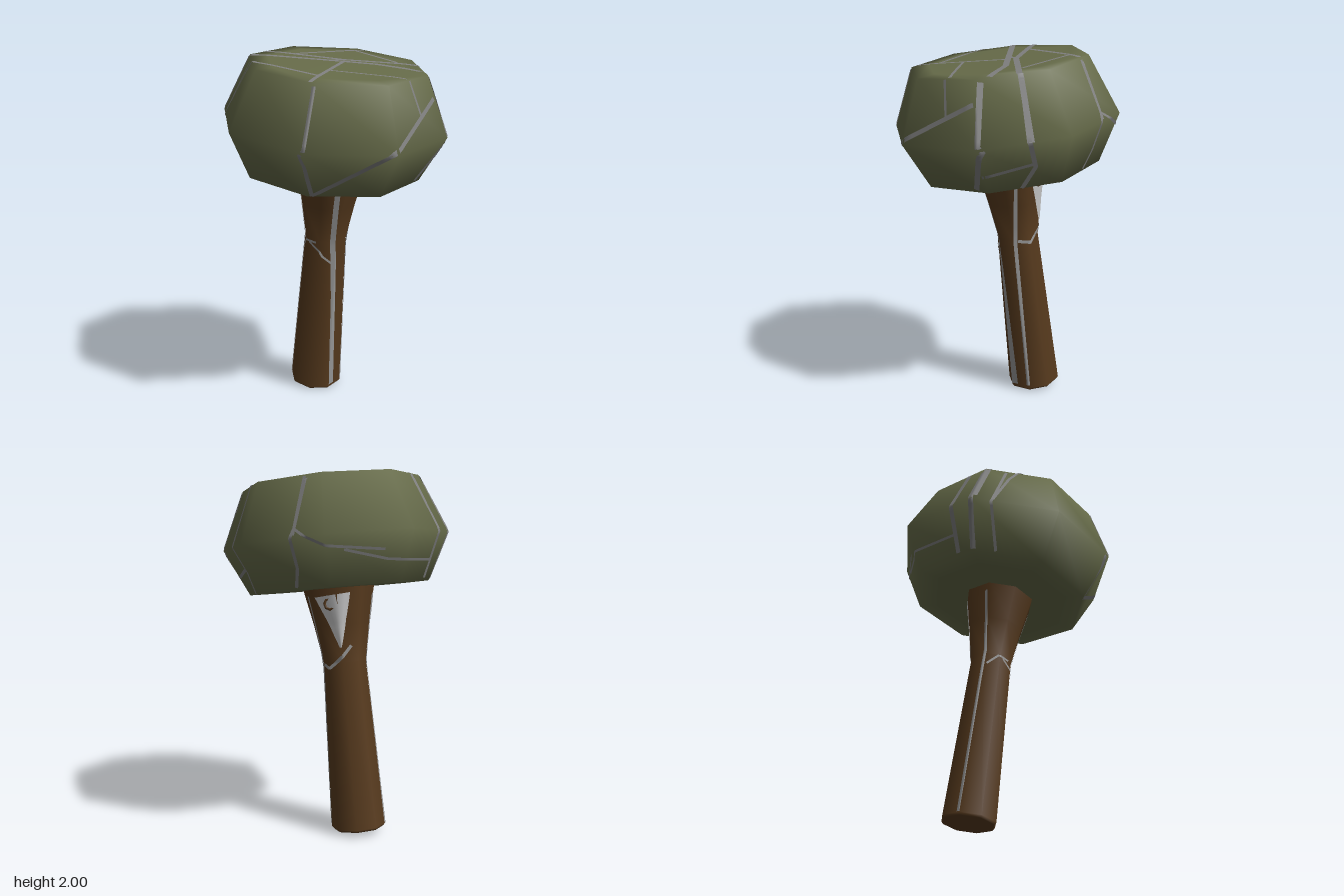
import * as THREE from 'three';

const TILT = 0.13;
const PIVOT = new THREE.Vector3(0, 1.62, 0);
const AXIS = new THREE.Vector3(0, Math.cos(TILT), Math.sin(TILT));

const material = (color) => new THREE.MeshStandardMaterial({ color, side: THREE.DoubleSide });

// Eight-sided turned body, leaning forward about the crown centre
function turned(name, profile, color) {
  const geometry = new THREE.LatheGeometry(profile.map(([r, h]) => new THREE.Vector2(r, h)), 8);
  const mesh = new THREE.Mesh(geometry, material(color));
  mesh.name = name;
  mesh.position.copy(PIVOT);
  mesh.rotation.x = TILT;
  mesh.updateMatrixWorld(true);
  return mesh;
}

// Rays that project flat drawing coordinates onto a body from each side
const V = (x, y, z) => new THREE.Vector3(x, y, z);
const RAYS = {
  top: (a, b) => [V(a, 5, b), V(0, -1, 0)],
  front: (a, b) => [V(a, b, 5), V(0, 0, -1)],
  back: (a, b) => [V(a, b, -5), V(0, 0, 1)],
  right: (a, b) => [V(5, b, a), V(-1, 0, 0)],
  left: (a, b) => [V(-5, b, a), V(1, 0, 0)],
};

function hit(mesh, origin, direction) {
  return new THREE.Raycaster(origin, direction).intersectObject(mesh)[0]?.point;
}

// Ribbon that hugs a body along a path; points are [a, b, optional width]
function ribbon(mesh, name, centreOf, view, path, width, color, lift = 0.004) {
  const samples = [];
  for (let i = 0; i + 1 < path.length; i++) {
    const [a0, b0, w0 = width] = path[i];
    const [a1, b1, w1 = width] = path[i + 1];
    for (let k = i ? 1 : 0; k <= 12; k++) {
      const t = k / 12;
      const p = hit(mesh, ...RAYS[view](a0 + (a1 - a0) * t, b0 + (b1 - b0) * t));
      if (p) samples.push({ p, w: w0 + (w1 - w0) * t });
    }
  }
  const across = 6, positions = [], index = [];
  samples.forEach(({ p, w }, i) => {
    const before = samples[Math.max(i - 1, 0)].p;
    const after = samples[Math.min(i + 1, samples.length - 1)].p;
    const centre = centreOf(p);
    const out = p.clone().sub(centre);
    const side = after.clone().sub(before).cross(out).normalize();
    for (let j = 0; j <= across; j++) {
      const q = p.clone().addScaledVector(side, w * (j / across - 0.5));
      const c = centreOf(q);
      const dir = q.clone().sub(c).normalize();
      const s = (hit(mesh, c, dir) ?? q).clone().addScaledVector(dir, lift);
      positions.push(s.x, s.y, s.z);
      if (i && j) {
        const d = i * (across + 1) + j, u = d - across - 1;
        index.push(u - 1, u, d, u - 1, d, d - 1);
      }
    }
  });
  const geometry = new THREE.BufferGeometry();
  geometry.setAttribute('position', new THREE.Float32BufferAttribute(positions, 3));
  geometry.setIndex(index);
  geometry.computeVertexNormals();
  const strip = new THREE.Mesh(geometry, material(color));
  strip.name = name;
  return strip;
}

export function createModel() {
  const model = new THREE.Group();
  model.name = 'crackedTree';

  const crown = turned('crown', [
    [0, -0.26], [0.38, -0.26], [0.5, -0.26], [0.63, 0], [0.49, 0.32], [0.39, 0.325], [0, 0.325],
  ], 0x666b49);
  const trunk = turned('trunk', [
    [0, -1.613], [0.14, -1.613], [0.15, -1.6], [0.118, -0.67], [0.155, -0.46], [0.2, -0.25],
  ], 0x583b1e);
  model.add(crown, trunk);

  // Seams between the crown's plates
  const crownCentre = () => PIVOT.clone();
  const crownSeams = [
    ['top', 0.03, [[-0.31, -0.49], [-0.23, -0.34], [0.08, -0.02], [0.42, 0.18], [0.55, 0.19]]],
    ['top', 0.033, [[-0.44, -0.42], [-0.34, -0.27], [0.02, -0.01], [0.2, 0.12], [0.35, 0.31]]],
    ['top', 0.02, [[0, -0.03], [0.09, -0.03]]],
    ['top', 0.022, [[-0.35, 0.35], [0.05, 0.02]]],
    ['top', 0.016, [[-0.49, -0.34], [-0.43, -0.2], [-0.41, -0.1], [-0.25, 0.26]]],
    ['top', 0.018, [[-0.1, -0.225], [0.39, -0.23], [0.52, -0.28]]],
    ['top', 0.014, [[0.28, -0.22], [0.34, 0.11]]],
    ['top', 0.014, [[-0.13, 0.18], [0.17, 0.43]]],
    ['front', 0.014, [[0.17, 1.88], [0.23, 1.69]]],
    ['front', 0.024, [[0.39, 1.79], [-0.02, 1.55], [-0.33, 1.32]]],
    ['front', 0.02, [[-0.35, 1.88], [-0.45, 1.55], [-0.33, 1.32]]],
    ['front', 0.03, [[0.36, 1.88], [0.45, 1.55], [0.28, 1.31]]],
    ['right', 0.024, [[0.18, 1.9], [0.2, 1.6], [0.13, 1.46], [0.16, 1.34]]],
    ['right', 0.018, [[0.13, 1.48], [0.37, 1.41]]],
    ['right', 0.018, [[-0.22, 1.96], [-0.27, 1.7], [-0.25, 1.5], [-0.21, 1.4]]],
    ['right', 0.014, [[-0.27, 1.7], [-0.43, 1.62], [-0.54, 1.6]]],
    ['back', 0.014, [[0.33, 1.6], [0.1, 1.55], [-0.29, 1.53]]],
    ['back', 0.028, [[-0.25, 1.96], [-0.31, 1.68], [-0.27, 1.43]]],
    ['back', 0.03, [[-0.36, 1.94], [-0.44, 1.67], [-0.36, 1.42]]],
    ['left', 0.016, [[-0.2, 1.95], [-0.34, 1.66], [-0.27, 1.41]]],
  ];
  crownSeams.forEach(([view, width, path], i) =>
    model.add(ribbon(crown, `crownSeam${i + 1}`, crownCentre, view, path, width, 0x808080)));

  // Seams down and around the trunk
  const trunkCentre = (p) =>
    PIVOT.clone().addScaledVector(AXIS, p.clone().sub(PIVOT).dot(AXIS));
  const trunkSeams = [
    ['front', 0.03, [[-0.045, 1.29], [-0.01, 0.8], [0, 0.6], [0.02, 0.03, 0.04]]],
    ['front', 0.012, [[-0.112, 0.94], [-0.07, 0.86], [-0.015, 0.81]]],
    ['right', 0.02, [[0.03, 1.32], [-0.01, 1.0], [-0.1, 0.04]]],
    ['right', 0.018, [[-0.03, 0.94], [-0.1, 0.93], [-0.17, 1.0], [-0.19, 1.06]]],
    ['back', 0.016, [[-0.12, 1.34], [-0.085, 0.95], [-0.1, 0.05]]],
    ['left', 0.012, [[-0.16, 0.9], [-0.1, 0.95], [-0.03, 0.94]]],
  ];
  trunkSeams.forEach(([view, width, path], i) =>
    model.add(ribbon(trunk, `trunkSeam${i + 1}`, trunkCentre, view, path, width, 0x999999)));

  // Open fork under the crown with a small knot ring in it
  model.add(ribbon(trunk, 'forkOpening', trunkCentre, 'right',
    [[-0.165, 1.05, 0.01], [-0.155, 1.2, 0.11], [-0.145, 1.34, 0.23]], 0.1, 0xcccccc, 0.005));
  const knot = new THREE.Mesh(new THREE.TorusGeometry(0.03, 0.008, 5, 8), material(0x583b1e));
  knot.name = 'knotRing';
  knot.position.copy(hit(trunk, ...RAYS.right(-0.13, 1.29)));
  knot.rotation.y = Math.PI * 0.72;
  model.add(knot);

  return model;
}
